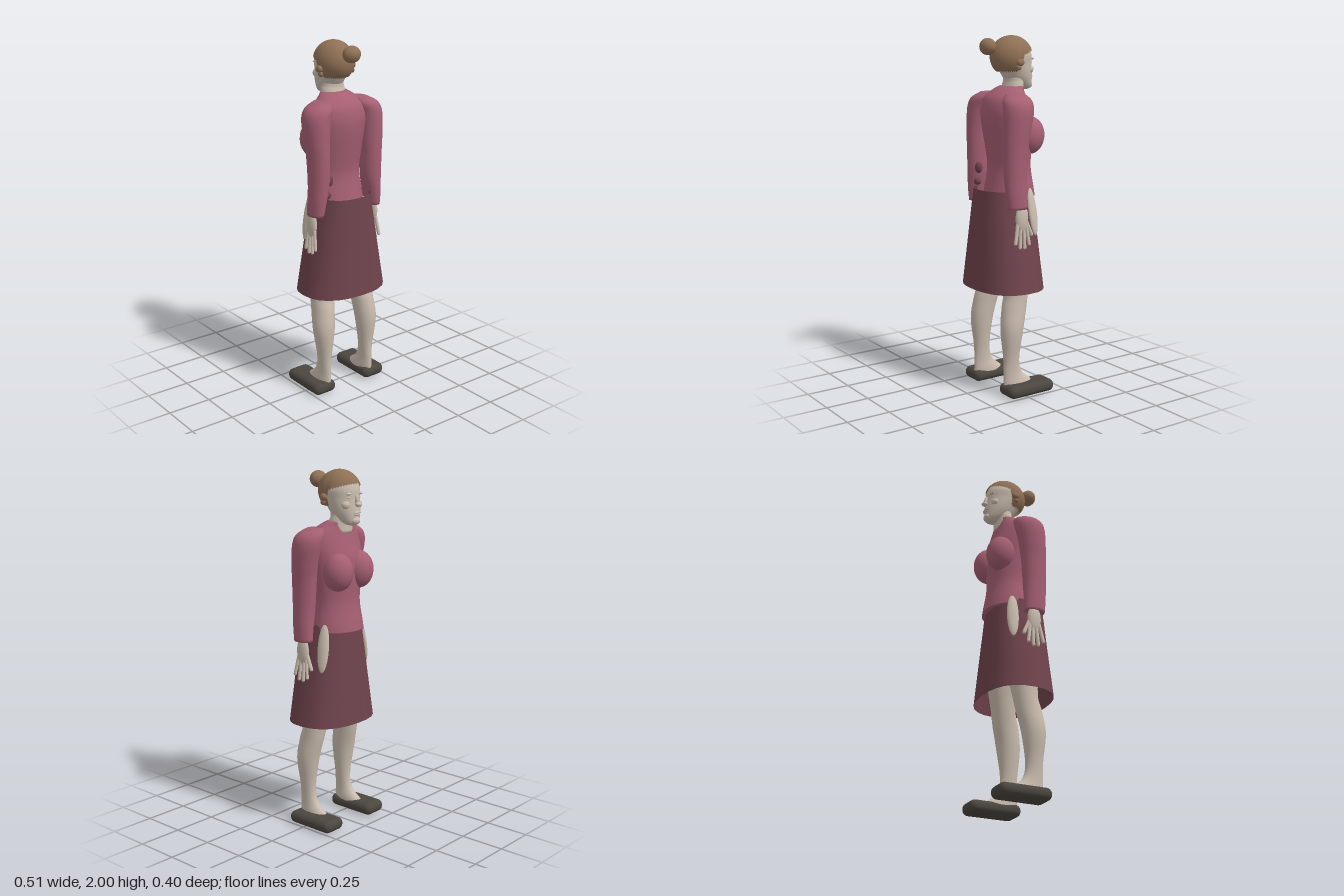
import * as THREE from 'three';
import { RoundedBoxGeometry } from 'three/addons/geometries/RoundedBoxGeometry.js';

const mat = (name, color, side = THREE.FrontSide) => {
  const m = new THREE.MeshStandardMaterial({ color, side });
  m.name = name;
  return m;
};

// Smooth loft through level rings, bottom to top: [y, centreX, zBack, zFront, radiusX]
function loft(sections, { steps = 5, sides = 28, power = 2, caps = true } = {}) {
  const spline = new THREE.CubicInterpolant(sections.map((_, i) => i), sections.flat(), 5);
  const rings = (sections.length - 1) * steps;
  const pos = [], index = [];
  const bend = (v) => Math.sign(v) * Math.abs(v) ** (2 / power);
  for (let i = 0; i <= rings; i++) {
    const [y, cx, zb, zf, rx] = spline.evaluate(i / steps);
    for (let j = 0; j < sides; j++) {
      const a = (j / sides) * Math.PI * 2;
      pos.push(cx + rx * bend(Math.cos(a)), y, (zb + zf) / 2 + ((zb - zf) / 2) * bend(Math.sin(a)));
    }
  }
  for (let i = 0; i < rings; i++) {
    for (let j = 0; j < sides; j++) {
      const a = i * sides + j, b = i * sides + ((j + 1) % sides);
      index.push(a, a + sides, b, b, a + sides, b + sides);
    }
  }
  if (caps) {
    const n = pos.length / 3, top = rings * sides;
    for (const s of [sections[0], sections[sections.length - 1]]) pos.push(s[1], s[0], (s[2] + s[3]) / 2);
    for (let j = 0; j < sides; j++) {
      const k = (j + 1) % sides;
      index.push(n, j, k, n + 1, top + k, top + j);
    }
  }
  const g = new THREE.BufferGeometry();
  g.setAttribute('position', new THREE.Float32BufferAttribute(pos, 3));
  g.setIndex(index);
  g.computeVertexNormals();
  return g;
}

// Hair cap: a sphere pulled up to a hairline that is high in front and low behind
function hairCap() {
  const g = new THREE.SphereGeometry(1, 48, 20);
  const p = g.attributes.position, uv = g.attributes.uv;
  for (let i = 0; i < p.count; i++) {
    const a = uv.getX(i) * Math.PI * 2;
    const dx = Math.cos(a), dz = -Math.sin(a);
    const limit = 2.4 - 0.85 * THREE.MathUtils.smoothstep(-dz, -0.12, 0.12) - 0.32 * Math.max(0, -dz);
    const t = (1 - uv.getY(i)) * limit;
    p.setXYZ(i, -dx * Math.sin(t) * 0.108, 1.885 + Math.cos(t) * 0.115, -0.052 - dz * Math.sin(t) * -0.124);
  }
  // the azimuth runs the other way round, so turn the faces outwards
  const idx = g.index.array;
  const tri = [0, 1, 2].map((k) => new THREE.Vector3().fromBufferAttribute(p, idx[3 * 48 * 10 + k]));
  const normal = tri[1].clone().sub(tri[0]).cross(tri[2].clone().sub(tri[0]));
  if (normal.dot(tri[0].clone().sub(new THREE.Vector3(0, 1.885, -0.052))) < 0) {
    for (let i = 0; i < idx.length; i += 3) [idx[i + 1], idx[i + 2]] = [idx[i + 2], idx[i + 1]];
  }
  g.computeVertexNormals();
  return g;
}

export function createModel() {
  const model = new THREE.Group();
  model.name = 'woman';
  const skin = mat('skin', 0xcabcae);
  const hair = mat('hair', 0x8f7055, THREE.DoubleSide);
  const knit = mat('sweater', 0xa55f72);
  const cloth = mat('skirt', 0x6f434c, THREE.DoubleSide);
  const sole = mat('shoes', 0x4b463f);

  const add = (name, geometry, material, x = 0, y = 0, z = 0) => {
    const m = new THREE.Mesh(geometry, material);
    m.name = name;
    m.position.set(x, y, z);
    model.add(m);
    return m;
  };
  const blob = (name, material, [x, y, z], [rx, ry, rz]) =>
    add(name, new THREE.SphereGeometry(1, 24, 16).scale(rx, ry, rz), material, x, y, z);
  const limb = (name, material, from, to, r) => {
    const a = new THREE.Vector3(...from), b = new THREE.Vector3(...to), d = b.clone().sub(a);
    const m = add(name, new THREE.CapsuleGeometry(r, d.length(), 4, 10), material);
    m.position.copy(a).add(b).multiplyScalar(0.5);
    m.quaternion.setFromUnitVectors(new THREE.Vector3(0, 1, 0), d.normalize());
  };

  // Head and neck, facing -z
  add('head', loft([
    [1.705, 0, -0.11, -0.165, 0.018], [1.72, 0, -0.08, -0.176, 0.045], [1.76, 0, -0.02, -0.178, 0.07],
    [1.8, 0, 0.01, -0.175, 0.084], [1.85, 0, 0.045, -0.17, 0.094], [1.9, 0, 0.055, -0.167, 0.1],
    [1.95, 0, 0.03, -0.145, 0.078], [1.985, 0, -0.02, -0.08, 0.03]]), skin);
  add('neck', loft([[1.66, 0, 0.01, -0.115, 0.08], [1.73, 0, -0.01, -0.115, 0.074],
    [1.76, 0, -0.015, -0.12, 0.068], [1.82, 0, -0.01, -0.12, 0.068]]), skin);
  blob('noseBridge', skin, [0, 1.84, -0.172], [0.011, 0.034, 0.016]).rotation.x = 0.2;
  blob('noseTip', skin, [0, 1.818, -0.183], [0.018, 0.013, 0.018]);
  blob('upperLip', skin, [0, 1.775, -0.176], [0.028, 0.006, 0.012]);
  blob('lowerLip', skin, [0, 1.764, -0.176], [0.023, 0.007, 0.011]);
  blob('chin', skin, [0, 1.73, -0.165], [0.03, 0.022, 0.022]);

  // Hair with a bun behind
  add('hair', hairCap(), hair);
  blob('bun', hair, [0, 1.94, 0.103], [0.052, 0.046, 0.044]);

  // Sweater body
  add('sweaterBody', loft([
    [1.12, 0, 0.1, -0.173, 0.16], [1.17, 0, 0.09, -0.165, 0.155], [1.28, 0, 0.075, -0.148, 0.14],
    [1.4, 0, 0.09, -0.152, 0.15], [1.52, 0, 0.108, -0.15, 0.165], [1.6, 0, 0.108, -0.128, 0.172],
    [1.66, 0, 0.09, -0.112, 0.155], [1.7, 0, 0.05, -0.106, 0.112], [1.725, 0, 0.008, -0.112, 0.078]],
  { sides: 40 }), knit);

  // Skirt, an open tube
  add('skirt', loft([[0.6, 0, 0.2, -0.19, 0.257], [1.16, 0, 0.16, -0.146, 0.16]],
    { steps: 4, sides: 24, power: 2.4, caps: false }), cloth);

  for (const s of [1, -1]) {
    const side = s > 0 ? 'left' : 'right';
    const mirror = (rows) => rows.map(([y, x, ...rest]) => [y, x * s, ...rest]);

    // Face details and side curl
    blob(side + 'Brow', skin, [s * 0.037, 1.874, -0.151], [0.027, 0.008, 0.014]).rotation.y = s * 0.35;
    blob(side + 'Eye', skin, [s * 0.036, 1.853, -0.151], [0.017, 0.009, 0.01]);
    blob(side + 'Cheek', skin, [s * 0.045, 1.815, -0.137], [0.03, 0.026, 0.025]);
    blob(side + 'EarCurl', hair, [s * 0.112, 1.855, -0.035], [0.016, 0.02, 0.024]);
    blob(side + 'EarLobeCurl', hair, [s * 0.107, 1.828, -0.028], [0.012, 0.015, 0.016]);

    // Chest and sleeve
    blob(side + 'Chest', knit, [s * 0.085, 1.455, -0.115], [0.083, 0.105, 0.086]);
    add(side + 'Sleeve', loft(mirror([
      [1.07, 0.197, 0.098, -0.022, 0.038], [1.15, 0.19, 0.108, -0.02, 0.046], [1.25, 0.18, 0.114, -0.02, 0.055],
      [1.4, 0.18, 0.117, -0.03, 0.06], [1.5, 0.182, 0.115, -0.045, 0.067], [1.6, 0.176, 0.112, -0.065, 0.076],
      [1.655, 0.155, 0.1, -0.065, 0.075], [1.69, 0.125, 0.06, -0.045, 0.045]])), knit);

    // Hand with spread fingers
    blob(side + 'Palm', skin, [s * 0.214, 1.02, 0.026], [0.021, 0.08, 0.04]);
    [[0.056, 0.075, 0.885], [0.036, 0.045, 0.86], [0.016, 0.015, 0.857], [0, -0.015, 0.875]].forEach(([z0, z1, y], i) =>
      limb(side + 'Finger' + (i + 1), skin, [s * 0.216, 0.985, z0], [s * 0.225, y, z1], 0.0095));
    limb(side + 'Thumb', skin, [s * 0.212, 1.01, 0], [s * 0.215, 0.925, -0.037], 0.0105);

    // Leg, hip showing through the skirt, and shoe
    add(side + 'Leg', loft(mirror([
      [0.04, 0.152, 0.1, -0.12, 0.042], [0.075, 0.15, 0.101, -0.075, 0.038], [0.13, 0.15, 0.1, -0.015, 0.032],
      [0.22, 0.15, 0.1, 0.002, 0.038], [0.38, 0.152, 0.115, -0.018, 0.06], [0.5, 0.142, 0.1, -0.045, 0.063],
      [0.6, 0.132, 0.078, -0.062, 0.069], [0.8, 0.115, 0.1, -0.1, 0.085], [1, 0.095, 0.135, -0.11, 0.085],
      [1.12, 0.08, 0.09, -0.08, 0.06]])), skin);
    blob(side + 'Hip', skin, [s * 0.165, 1.04, -0.08], [0.018, 0.135, 0.033]).rotation.set(0, s * 0.3, s * 0.17);
    add(side + 'Shoe', new RoundedBoxGeometry(0.145, 0.07, 0.3, 4, 0.033), sole, s * 0.178, 0.035, -0.037);
  }

  // Dark marks on the right sleeve
  blob('upperSleeveMark', cloth, [-0.134, 1.265, 0.078], [0.025, 0.033, 0.02]);
  blob('lowerSleeveMark', cloth, [-0.148, 1.185, 0.078], [0.026, 0.022, 0.02]);
  return model;
}
